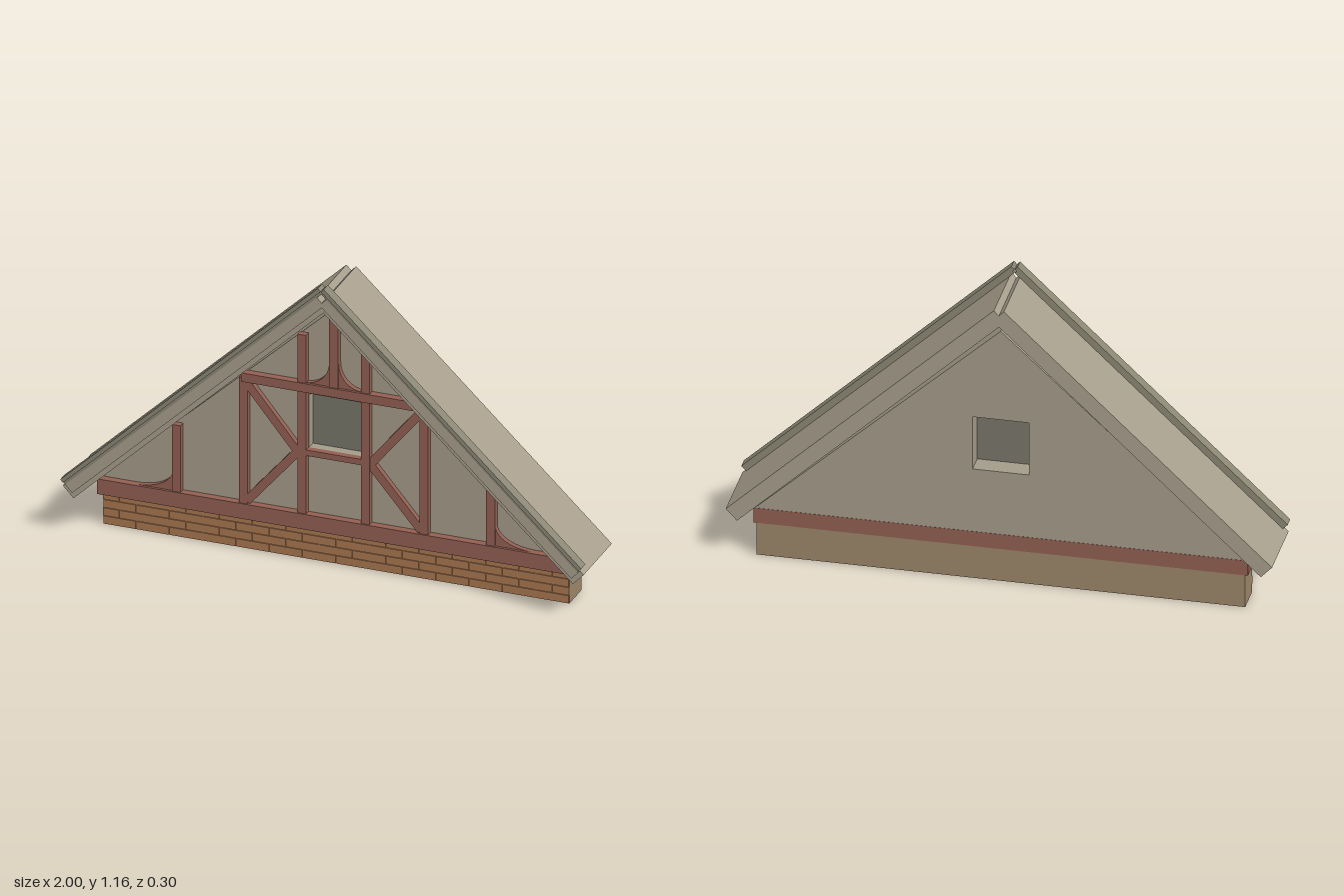
import * as THREE from 'three';

const mat = (name, color) => {
  const m = new THREE.MeshStandardMaterial({ color });
  m.name = name;
  return m;
};

export function createModel() {
  const plaster = mat('plaster', 0xa59c8a);
  const roofing = mat('roof boards', 0xa89f8d);
  const trim = mat('roof trim', 0x8c8876);
  const glass = mat('window pane', 0x78766a);
  const timber = mat('timber', 0x925f52);
  const brick = mat('brick', 0xa87650);
  const backing = mat('brick backing', 0x9c8668);

  const model = new THREE.Group();
  model.name = 'gable';

  const add = (name, geometry, material) => {
    const mesh = new THREE.Mesh(geometry, material);
    mesh.name = name;
    model.add(mesh);
    return mesh;
  };
  // Box given by its limits on each axis
  const box = (name, material, x0, x1, y0, y1, z0, z1) => {
    const mesh = add(name, new THREE.BoxGeometry(x1 - x0, y1 - y0, z1 - z0), material);
    mesh.position.set((x0 + x1) / 2, (y0 + y1) / 2, (z0 + z1) / 2);
    return mesh;
  };
  const extrude = (name, material, shape, z0, z1) => {
    const geometry = new THREE.ExtrudeGeometry(shape, { depth: z1 - z0, bevelEnabled: false, curveSegments: 10 });
    geometry.translate(0, 0, z0);
    return add(name, geometry, material);
  };

  // Brick plinth: backing block, mortar face and staggered bricks
  box('plinth', backing, -0.895, 0.895, 0, 0.13, -0.12, -0.006);
  box('mortarFace', brick, -0.895, 0.895, 0, 0.13, -0.006, -0.004);
  const rows = 4, rowHeight = 0.13 / rows, pitch = 1.79 / 14, gap = 0.002;
  for (let r = 0; r < rows; r++) {
    for (let i = 0; i <= 14; i++) {
      const start = -0.895 + (i - (r % 2) / 2) * pitch;
      const x0 = Math.max(-0.895, start + gap), x1 = Math.min(0.895, start + pitch - gap);
      if (x1 - x0 < 0.01) continue;
      box('brick', brick, x0, x1, r * rowHeight + gap / 2, (r + 1) * rowHeight - gap / 2, -0.004, 0);
    }
  }

  // Triangular wall with a window opening
  const wall = new THREE.Shape();
  wall.moveTo(-0.9, 0.19).lineTo(0.9, 0.19).lineTo(0, 1.02).closePath();
  const opening = new THREE.Path();
  opening.moveTo(-0.103, 0.445).lineTo(-0.103, 0.658).lineTo(0.103, 0.658).lineTo(0.103, 0.445).closePath();
  wall.holes.push(opening);
  extrude('wall', plaster, wall, -0.12, 0);
  box('windowPane', glass, -0.103, 0.103, 0.445, 0.658, -0.044, -0.036);

  // Horizontal timbers and king post
  const front = 0.025;
  box('sillBeam', timber, -0.905, 0.905, 0.13, 0.19, -0.121, 0.03);
  box('crossBeam', timber, -0.353, 0.353, 0.675, 0.71, 0, 0.03);
  box('windowSill', timber, -0.105, 0.105, 0.422, 0.445, 0, front);
  box('kingPost', timber, -0.018, 0.018, 0.71, 1.015, 0, front);

  // Straight brace between two points
  const brace = (x0, y0, x1, y1) => {
    const length = Math.hypot(x1 - x0, y1 - y0);
    const mesh = add('diagonalBrace', new THREE.BoxGeometry(length, 0.032, 0.022), timber);
    mesh.position.set((x0 + x1) / 2, (y0 + y1) / 2, 0.011);
    mesh.rotation.z = Math.atan2(y1 - y0, x1 - x0);
  };
  // Concave bracket in the corner of a post and a beam
  const bracket = (x, y, width, height) => {
    const s = new THREE.Shape();
    s.moveTo(x, y).lineTo(x + width, y);
    s.bezierCurveTo(x + width * 0.45, y + height * 0.03, x, y + height * 0.4, x, y + height);
    s.closePath();
    extrude('curvedBracket', timber, s, 0, 0.02);
  };

  // Posts, braces and brackets on both sides
  for (const side of [-1, 1]) {
    const post = (x, top) =>
      box('post', timber, side * x - 0.0165, side * x + 0.0165, 0.19, top, 0, front);
    post(0.122, 0.9);
    post(0.347, 0.69);
    post(0.603, 0.455);
    brace(side * 0.335, 0.67, side * 0.135, 0.425);
    brace(side * 0.335, 0.2, side * 0.135, 0.435);
    bracket(side * 0.018, 0.71, side * 0.09, 0.1);
    bracket(side * 0.618, 0.19, side * 0.14, 0.085);
  }

  // Roof boards: s runs up the slope from the eave, n is height above the roof surface
  const pitchAngle = THREE.MathUtils.degToRad(43.4);
  const c = Math.cos(pitchAngle), k = Math.sin(pitchAngle);
  const slopeBoard = (name, material, side, s0, s1, n0, n1, z0, z1) => {
    const s = (s0 + s1) / 2, n = (n0 + n1) / 2;
    const mesh = add(name, new THREE.BoxGeometry(s1 - s0, n1 - n0, z1 - z0), material);
    mesh.position.set(side * (1 - s * c + n * k), 0.19 + s * k + n * c, (z0 + z1) / 2);
    mesh.rotation.z = -side * pitchAngle;
  };
  for (const side of [-1, 1]) {
    slopeBoard('roofPanel', roofing, side, 0, 1.351, -0.06, 0, -0.15, 0.125);
    slopeBoard('bargeBoard', roofing, side, 0.02, 1.351, -0.04, 0, 0.125, 0.14);
    slopeBoard('bargeFillet', trim, side, 0.024, 1.375, 0, 0.01, 0.108, 0.144);
    slopeBoard('bargeCap', trim, side, 0.024, 1.385, 0.01, 0.0255, 0.108, 0.15);
  }

  return model;
}
